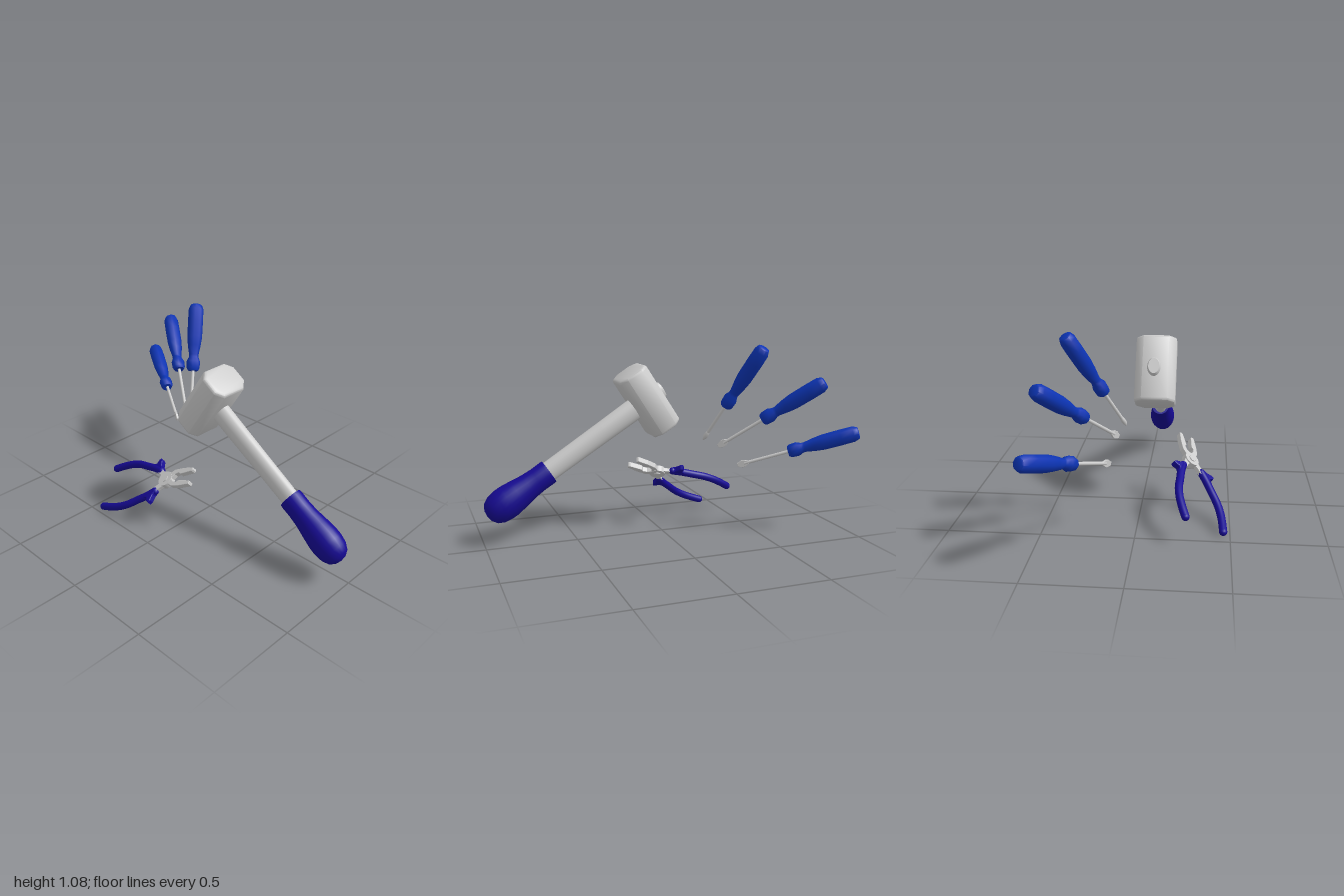
import * as THREE from 'three';
import { toCreasedNormals } from 'three/addons/utils/BufferGeometryUtils.js';

const steel = new THREE.MeshStandardMaterial({ color: 0xcccccc });
const darkBlue = new THREE.MeshStandardMaterial({ color: 0x160a94 });
const blue = new THREE.MeshStandardMaterial({ color: 0x0c34b4 });

const vec = (p) => new THREE.Vector3(...p);
const pts = (list) => list.map(([x, y]) => new THREE.Vector2(x, y));

function add(parent, name, geometry, material) {
  const mesh = new THREE.Mesh(geometry, material);
  mesh.name = name;
  parent.add(mesh);
  return mesh;
}

// Flat plate centred on z = 0, with softened edges
function plate(points, depth, bevel) {
  const g = new THREE.ExtrudeGeometry(new THREE.Shape(pts(points)), {
    depth: depth - 2 * bevel, bevelThickness: bevel, bevelSize: bevel, bevelOffset: -bevel, bevelSegments: 2,
  });
  g.translate(0, 0, bevel - depth / 2);
  return g.translate(0, 0, -(depth - 2 * bevel) / 2 + depth / 2 - bevel);
}

const lathe = (profile, sides) => new THREE.LatheGeometry(pts(profile), sides);

// Mallet: handle runs along local +x, head along local y
function makeMallet() {
  const g = new THREE.Group();
  g.name = 'mallet';
  g.position.set(0.07, 0.77, 0.062);
  g.rotation.z = -0.573;

  const u = 0.09, w = 0.114, c = 0.042;
  const head = plate([[u, -w + c], [u, w - c], [u - c, w], [c - u, w],
    [-u, w - c], [-u, c - w], [c - u, -w], [u - c, -w]], 0.385, 0.016);
  head.rotateX(-Math.PI / 2);
  add(g, 'malletHead', toCreasedNormals(head, 0.85), steel).position.z = 0.007;

  // Oval shaft with a stub showing behind the head
  const shaft = lathe([[0, -0.112], [0.044, -0.112], [0.052, -0.1], [0.056, -0.08],
    [0.064, 0.08], [0.061, 0.3], [0.057, 0.72]], 24);
  shaft.rotateZ(-Math.PI / 2).scale(1, 1, 0.7);
  add(g, 'malletShaft', toCreasedNormals(shaft, 0.8), steel);

  const grip = lathe([[0.05, 0.675], [0.068, 0.675], [0.07, 0.69], [0.069, 0.75], [0.073, 0.81], [0.084, 0.88],
    [0.092, 0.94], [0.092, 0.98], [0.084, 1.025], [0.064, 1.06], [0.034, 1.078], [0, 1.083]], 24);
  grip.rotateZ(-Math.PI / 2).scale(1, 1, 0.86);
  add(g, 'malletGrip', toCreasedNormals(grip, 0.9), darkBlue).position.z = -0.003;
  return g;
}

// Screwdriver from tip to butt; the blade lies in a vertical plane
function makeScrewdriver(name, tip, butt, flatBlade) {
  const g = new THREE.Group();
  g.name = name;
  const axis = vec(butt).sub(vec(tip));
  const len = axis.length();
  axis.normalize();
  const normal = new THREE.Vector3(-axis.z, 0, -axis.x).set(-axis.z, 0, axis.x).negate().normalize();
  const side = new THREE.Vector3().crossVectors(axis, normal);
  g.quaternion.setFromRotationMatrix(new THREE.Matrix4().makeBasis(side, axis, normal));
  g.position.set(...tip);

  // Handle heights are measured back from the butt
  const handle = [[0, 0.4], [0.03, 0.4], [0.038, 0.385], [0.04, 0.345], [0.029, 0.32], [0.028, 0.305],
    [0.038, 0.25], [0.044, 0.2], [0.045, 0.1], [0.044, 0.03], [0.034, 0.004], [0.026, 0], [0, 0]];
  add(g, 'screwdriverHandle', toCreasedNormals(lathe(handle.map(([r, d]) => [r, len - d]), 8), 0.9), blue);

  const shaftLen = len - 0.39 - 0.04;
  const shaft = new THREE.CylinderGeometry(0.0095, 0.0095, shaftLen, 12);
  add(g, 'screwdriverShaft', shaft.translate(0, 0.04 + shaftLen / 2, 0), steel);

  if (flatBlade) {
    add(g, 'flatBlade', plate([[-0.01, 0], [0.01, 0], [0.021, 0.03], [0.019, 0.045], [0.009, 0.065],
      [-0.009, 0.065], [-0.019, 0.045], [-0.021, 0.03]], 0.013, 0.002), steel);
  } else {
    add(g, 'crossTip', lathe([[0, 0], [0.004, 0], [0.013, 0.022], [0.013, 0.045], [0.009, 0.058]], 8), steel);
  }
  return g;
}

// Pliers: local x runs towards the jaws, y spreads the handles
function makePliers() {
  const g = new THREE.Group();
  g.name = 'pliers';
  const along = vec([0.887, 0.419, -0.193]).normalize();
  const up = new THREE.Vector3().crossVectors(along, vec([-0.393, 0.506, -0.768])).normalize();
  const across = new THREE.Vector3().crossVectors(up, along);
  g.quaternion.setFromRotationMatrix(new THREE.Matrix4().makeBasis(along, across, up));
  g.position.set(-0.072, 0.295, 0.276);

  for (const s of [1, -1]) {
    const label = s > 0 ? 'upper' : 'lower';
    const flip = (list) => list.map(([x, y]) => [x, s * y]);

    // Jaw with a gripping notch
    add(g, label + 'Jaw', plate(flip([[-0.01, 0], [0.045, 0], [0.065, 0.022], [0.09, 0.03], [0.105, 0.019],
      [0.185, 0.03], [0.193, 0.038], [0.188, 0.052], [0.12, 0.056], [0.06, 0.052], [0.03, 0.036], [-0.01, 0.04]]),
    0.032, 0.003), steel);

    // Steel tang that runs into the grip
    add(g, label + 'Tang', plate(flip([[0.02, 0.03], [-0.03, 0.055], [-0.1, 0.096], [-0.11, 0.07],
      [-0.05, 0.03], [-0.01, -0.01]]), 0.024, 0.003), steel);

    // Bowed grip with rounded ends
    const path = flip([[-0.065, 0.066], [-0.12, 0.09], [-0.19, 0.112], [-0.26, 0.134], [-0.33, 0.142],
      [-0.4, 0.138], [-0.46, 0.129]]).map(([x, y]) => vec([x, y, 0]));
    add(g, label + 'Grip', new THREE.TubeGeometry(new THREE.CatmullRomCurve3(path), 28, 0.022, 12), darkBlue);
    for (const p of [path[0], path[path.length - 1]]) {
      add(g, label + 'GripEnd', new THREE.SphereGeometry(0.022, 12, 8), darkBlue).position.copy(p);
    }

    // Finger guard
    add(g, label + 'Guard', plate(flip([[-0.05, 0.07], [-0.065, 0.095], [-0.072, 0.13], [-0.083, 0.143],
      [-0.096, 0.135], [-0.105, 0.112], [-0.15, 0.105], [-0.12, 0.085]]), 0.036, 0.006), darkBlue);
  }

  // Pivot disc and rivet
  const disc = (name, r, h) => add(g, name, new THREE.CylinderGeometry(r, r, h, 24).rotateX(Math.PI / 2), steel);
  disc('pivotDisc', 0.046, 0.036);
  disc('pivotRivet', 0.02, 0.046);
  return g;
}

export function createModel() {
  const model = new THREE.Group();
  model.name = 'toolSet';
  model.add(
    makeMallet(),
    makeScrewdriver('crossScrewdriver', [-0.225, 0.547, -0.068], [-0.453, 1.08, -0.347], false),
    makeScrewdriver('flatScrewdriverMiddle', [-0.303, 0.51, -0.103], [-0.78, 0.893, -0.435], true),
    makeScrewdriver('flatScrewdriverLow', [-0.412, 0.398, -0.134], [-0.985, 0.61, -0.472], true),
    makePliers(),
  );
  return model;
}
